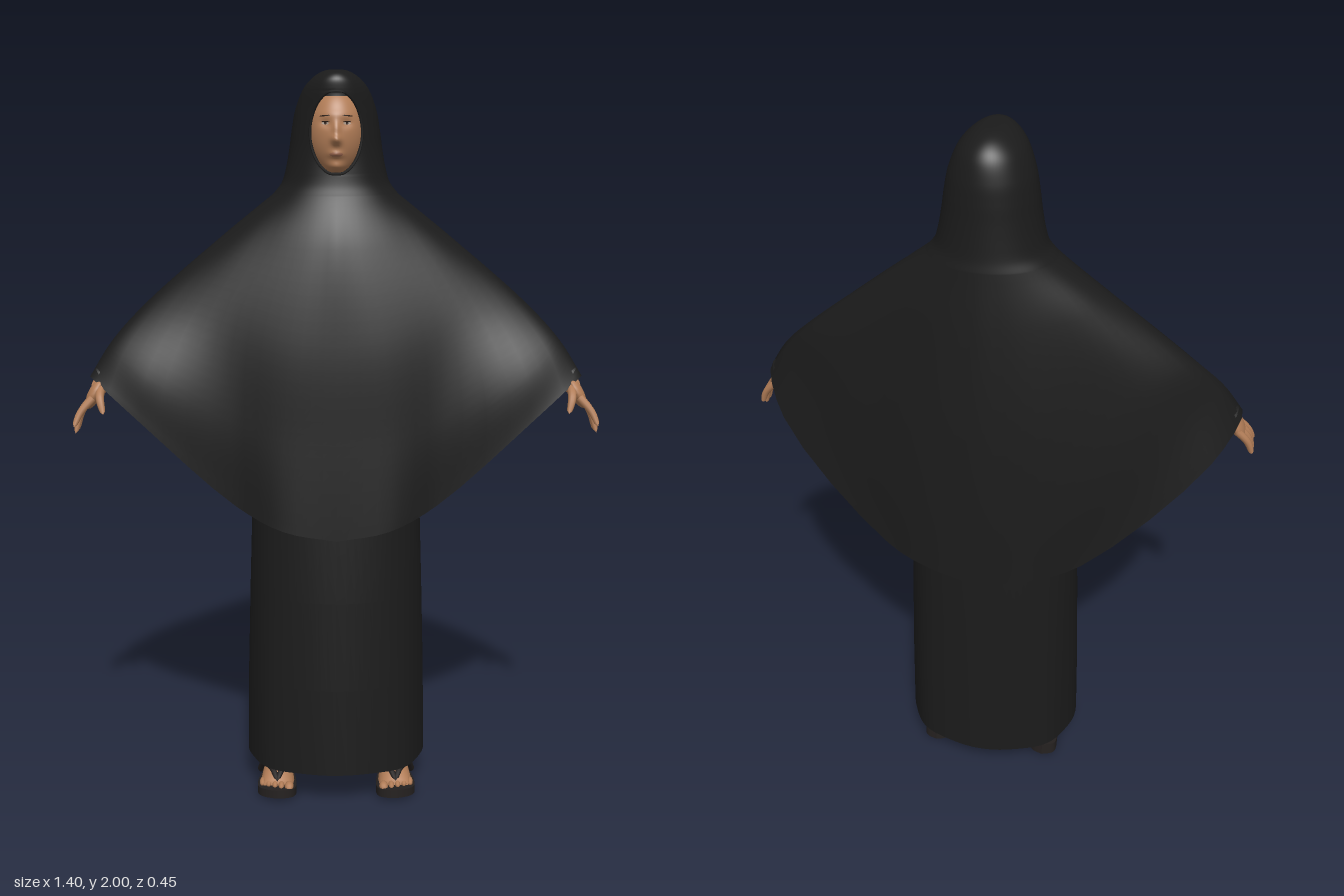
import * as THREE from 'three';
import { mergeVertices } from 'three/addons/utils/BufferGeometryUtils.js';

const V = (x, y, z) => new THREE.Vector3(x, y, z);
const spline = (pts) => new THREE.CatmullRomCurve3(pts);

const mat = (name, color, side = THREE.FrontSide) => {
  const m = new THREE.MeshStandardMaterial({ color, side });
  m.name = name;
  return m;
};

function add(parent, name, geo, material) {
  const m = new THREE.Mesh(geo, material);
  m.name = name;
  parent.add(m);
  return m;
}

// Smooth surface through rows of points
function surface(...grids) {
  const pos = [], idx = [];
  for (const rows of grids) {
    const base = pos.length / 3, n = rows[0].length;
    rows.forEach((row) => row.forEach((p) => pos.push(p.x, p.y, p.z)));
    for (let i = 0; i < rows.length - 1; i++) for (let j = 0; j < n - 1; j++) {
      const a = base + i * n + j, b = a + n;
      idx.push(a, b, a + 1, b, b + 1, a + 1);
    }
  }
  const g = new THREE.BufferGeometry();
  g.setAttribute('position', new THREE.Float32BufferAttribute(pos, 3));
  g.setIndex(idx);
  const merged = mergeVertices(g, 1e-5);
  merged.computeVertexNormals();
  return merged;
}

// Rounded tube whose radius runs from r0 to r1
function limb(pts, r0, r1, round = true) {
  const curve = spline(pts), n = 12, sides = 10;
  const g = new THREE.TubeGeometry(curve, n, 1, sides);
  const p = g.attributes.position, v = V(0, 0, 0);
  for (let i = 0; i < p.count; i++) {
    const u = Math.floor(i / (sides + 1)) / n, c = curve.getPointAt(u);
    const r = (r0 + (r1 - r0) * u) * (round ? Math.sqrt(Math.max(0, 1 - u ** 10)) : 1);
    v.fromBufferAttribute(p, i).sub(c).multiplyScalar(r).add(c);
    p.setXYZ(i, v.x, v.y, v.z);
  }
  return g;
}

// Relief of the face: ellipsoid plus soft bumps [x, y, width, height, amount]
const HEAD = V(0, 1.84, 0.013), RAD = V(0.076, 0.115, 0.088);
const BUMPS = [
  [0, 1.825, 0.011, 0.012, 0.019], [0, 1.85, 0.008, 0.02, 0.009], [0, 1.888, 0.04, 0.01, 0.003],
  [0.028, 1.866, 0.014, 0.01, -0.006], [-0.028, 1.866, 0.014, 0.01, -0.006],
  [0, 1.788, 0.017, 0.009, 0.008], [0, 1.755, 0.022, 0.014, 0.013],
];
const relief = (x, y) => BUMPS.reduce((s, [cx, cy, w, h, a]) =>
  s + a * Math.exp(-(((x - cx) / w) ** 2) - ((y - cy) / h) ** 2), 0);
const faceZ = (x, y) => HEAD.z + relief(x, y)
  + RAD.z * Math.sqrt(Math.max(0, 1 - (x / RAD.x) ** 2 - ((y - HEAD.y) / RAD.y) ** 2));

// Thin painted oval that follows the face
function facePatch(cx, cy, rx, ry, lift, slope = 0) {
  const g = new THREE.RingGeometry(0.001, 1, 20, 4), p = g.attributes.position;
  for (let i = 0; i < p.count; i++) {
    const dx = p.getX(i) * rx, x = cx + dx, y = cy + p.getY(i) * ry + dx * slope;
    p.setXYZ(i, x, y, faceZ(x, y) + lift);
  }
  g.computeVertexNormals();
  return g;
}

// Hood rows: y, half width, front z, back z
const HOOD = [
  [2.0, 0, -0.01, -0.01], [1.997, 0.03, 0.055, -0.06], [1.98, 0.06, 0.084, -0.1],
  [1.95, 0.086, 0.088, -0.125], [1.9, 0.106, 0.081, -0.138], [1.85, 0.116, 0.078, -0.143],
  [1.8, 0.123, 0.077, -0.146], [1.75, 0.132, 0.08, -0.15], [1.71, 0.144, 0.085, -0.154],
  [1.68, 0.167, 0.093, -0.159],
];
// Cape sections, each from front centre round the arm to back centre
const CAPE = [
  [[0, 1.55, .14], [.08, 1.55, .13], [.17, 1.56, .1], [.26, 1.57, .05], [.305, 1.57, -.01],
    [.28, 1.56, -.07], [.2, 1.55, -.125], [.1, 1.53, -.165], [0, 1.52, -.18]],
  [[0, 1.3, .18], [.12, 1.31, .175], [.26, 1.35, .14], [.41, 1.39, .09], [.51, 1.395, .03],
    [.44, 1.38, -.05], [.3, 1.33, -.12], [.14, 1.27, -.185], [0, 1.25, -.205]],
  [[0, 1.04, .2], [.14, 1.05, .195], [.28, 1.1, .165], [.5, 1.22, .15], [.598, 1.3, .07],
    [.53, 1.23, -.03], [.34, 1.1, -.13], [.15, 1.01, -.2], [0, 1, -.22]],
  [[0, .785, .22], [.14, .81, .215], [.27, .87, .17], [.52, 1.1, .165], [.655, 1.21, .1],
    [.59, 1.115, -.03], [.27, .825, -.165], [.12, .785, -.215], [0, .765, -.225]],
];

function buildVeil() {
  const N = 32, rows = [], rim = [];
  const front = spline(HOOD.map(([y, w, f]) => V(w, y, f)));
  const back = spline(HOOD.map(([y, w, , b]) => V(w, y, b)));
  front.curveType = back.curveType = 'catmullrom';
  for (let i = 0; i <= 72; i++) {
    const { x: w, y, z: f } = front.getPoint(i / 72), b = back.getPoint(i / 72).z;
    const open = 0.067 * Math.sqrt(Math.max(0, 1 - ((y - 1.842) / 0.106) ** 2));
    const a = open > 0 ? Math.asin(Math.min(1, open / w)) : 0;
    rows.push(Array.from({ length: N + 1 }, (_, j) => {
      const t = a + (Math.PI - a) * j / N;
      return V(j === N ? 0 : w * Math.sin(t), y, (f + b) / 2 + (f - b) / 2 * Math.cos(t));
    }));
    if (open > 0) rim.push(rows[i][0]);
  }
  const keys = CAPE.map((k) => spline(k.map((p) => V(...p))));
  const last = rows[rows.length - 1];
  const columns = last.map((p, j) => spline([p, ...keys.map((k) => k.getPoint(j / N))]));
  for (let i = 1; i <= 32; i++) rows.push(columns.map((c) => c.getPoint(i / 32)));
  const flip = (p) => V(-p.x, p.y, p.z);
  const other = rows.map((r) => r.map(flip).reverse());
  const loop = new THREE.CatmullRomCurve3([...rim, ...rim.map(flip).reverse()], true);
  return { cloth: surface(rows, other), rim: new THREE.TubeGeometry(loop, 80, 0.004, 6, true) };
}

// Gown rows: y, half width, front z, back z
const GOWN = [
  [0.095, 0.255, 0.225, -0.2], [0.35, 0.25, 0.213, -0.193], [0.6, 0.242, 0.2, -0.187],
  [0.82, 0.234, 0.188, -0.18], [1.1, 0.215, 0.165, -0.165], [1.4, 0.18, 0.12, -0.14], [1.6, 0.09, 0.05, -0.1],
];
function buildGown() {
  return surface(GOWN.map(([y, w, f, b]) => Array.from({ length: 73 }, (_, j) => {
    const t = (j % 72) / 72 * Math.PI * 2, s = Math.sin(t), c = Math.cos(t);
    const fold = 1 + 0.012 * (Math.cos(8 * t) - 1) * Math.max(0, 1 - y);
    const px = Math.sign(s) * Math.abs(s) ** 0.9, pz = Math.sign(c) * Math.abs(c) ** 0.9;
    return V(w * px * fold, y + (y < 0.1 ? 0.008 * Math.max(0, c) ** 4 : 0), (f + b) / 2 + (f - b) / 2 * pz * fold);
  })));
}

// Arched foot section at z, half width and height
const arch = (z, w, h) => Array.from({ length: 25 }, (_, j) => {
  const t = (j % 24) / 24 * Math.PI * 2;
  return V(w * Math.cos(t), 0.022 + h * Math.max(0, Math.sin(t)), z);
});

function buildFoot(m) {
  const foot = new THREE.Group();
  foot.name = 'foot';
  add(foot, 'footSkin', surface([
    arch(-0.085, 0, 0), arch(-0.08, 0.022, 0.06), arch(-0.045, 0.034, 0.085), arch(0, 0.037, 0.09),
    arch(0.05, 0.043, 0.066), arch(0.1, 0.048, 0.044), arch(0.145, 0.046, 0.028), arch(0.155, 0, 0),
  ]), m.skin);
  add(foot, 'ankle', limb([V(0, 0.06, -0.035), V(-0.005, 0.15, -0.035), V(-0.03, 0.45, -0.03)], 0.035, 0.052), m.skin);
  for (let i = 0; i < 5; i++) {
    const toe = add(foot, 'toe', new THREE.SphereGeometry(1, 10, 8), m.skin);
    toe.scale.set(i ? 0.0085 : 0.013, i ? 0.01 : 0.013, 0.02);
    toe.position.set(-0.034 + i * 0.018 + (i ? 0.004 : 0), 0.036, 0.158 - i * 0.007);
  }
  const outline = new THREE.Shape();
  outline.moveTo(0, -0.1);
  outline.splineThru([[0.037, -0.078], [0.038, 0], [0.056, 0.1], [0.047, 0.16], [0, 0.19],
    [-0.047, 0.172], [-0.053, 0.1], [-0.037, 0], [-0.037, -0.078], [0, -0.1]].map((p) => new THREE.Vector2(...p)));
  const sole = new THREE.ExtrudeGeometry(outline, { depth: 0.024, bevelEnabled: false, curveSegments: 40 });
  sole.rotateX(Math.PI / 2).translate(0, 0.024, 0);
  const p = sole.attributes.position;
  for (let i = 0; i < p.count; i++) { // raised heel and toe
    const z = p.getZ(i), top = p.getY(i) > 0.015;
    p.setY(i, p.getY(i) + (top ? 0.018 * Math.max(0, -z / 0.1) : 0) + 0.015 * Math.max(0, (z - 0.11) / 0.08));
  }
  sole.computeVertexNormals();
  add(foot, 'sandalSole', sole, m.sandal);
  for (const s of [-1, 1]) {
    add(foot, 'toeStrap', limb([V(s * 0.05, 0.026, 0.03), V(s * 0.038, 0.066, 0.07),
      V(s * 0.014, 0.066, 0.11), V(0, 0.046, 0.148)], 0.011, 0.008), m.sandal);
  }
  add(foot, 'heelCounter', surface([0.024, 0.062].map((y) => Array.from({ length: 21 }, (_, j) => {
    const t = Math.PI * (j / 20 - 0.5);
    return V(0.042 * Math.sin(t), y, 0.01 - 0.1 * Math.cos(t));
  }))), m.sandal);
  foot.position.set(0.168, 0, 0);
  return foot;
}

function buildArm(m) {
  const arm = new THREE.Group();
  arm.name = 'arm';
  add(arm, 'sleeve', limb([V(0.12, 1.48, -0.02), V(0.38, 1.35, 0.03), V(0.625, 1.2, 0.085)], 0.075, 0.036, false), m.cloth);
  add(arm, 'wrist', limb([V(0.57, 1.235, 0.077), V(0.61, 1.205, 0.087), V(0.645, 1.165, 0.1)], 0.025, 0.025), m.skin);
  const palm = add(arm, 'palm', new THREE.SphereGeometry(1, 16, 12), m.skin);
  palm.scale.set(0.018, 0.047, 0.04);
  palm.position.set(0.643, 1.165, 0.103);
  palm.rotation.z = 0.5;
  // Four fingers from front to back, then the thumb
  [[0.134, 0.158, 1.085], [0.114, 0.136, 1.062], [0.095, 0.114, 1.062], [0.075, 0.088, 1.08]].forEach(([z0, z1, tip]) =>
    add(arm, 'finger', limb([V(0.645, 1.158, z0), V(0.677, 1.122, (z0 + z1) / 2), V(0.694, tip, z1)], 0.0115, 0.008), m.skin));
  add(arm, 'thumb', limb([V(0.625, 1.185, 0.115), V(0.624, 1.16, 0.148), V(0.614, 1.12, 0.165)], 0.014, 0.008), m.skin);
  return arm;
}

function buildHead(m) {
  const head = new THREE.Group();
  head.name = 'head';
  const g = new THREE.SphereGeometry(1, 80, 72);
  g.scale(RAD.x, RAD.y, RAD.z).translate(HEAD.x, HEAD.y, HEAD.z);
  const p = g.attributes.position;
  for (let i = 0; i < p.count; i++) {
    const z = p.getZ(i) - HEAD.z;
    if (z > 0) p.setZ(i, p.getZ(i) + relief(p.getX(i), p.getY(i)) * Math.min(1, z / 0.03));
  }
  g.computeVertexNormals();
  add(head, 'face', g, m.skin);
  const cap = new THREE.SphereGeometry(1, 40, 16, 0, Math.PI * 2, 0, 0.69);
  add(head, 'underCap', cap.scale(0.082, 0.121, 0.094).translate(0, HEAD.y, HEAD.z), m.cloth);
  for (const s of [-1, 1]) {
    add(head, 'eye', facePatch(s * 0.028, 1.866, 0.0095, 0.0036, 0.001), m.eye);
    add(head, 'iris', facePatch(s * 0.028, 1.866, 0.0036, 0.0036, 0.0018), m.brow);
    add(head, 'eyelid', facePatch(s * 0.028, 1.87, 0.011, 0.0012, 0.002), m.brow);
    add(head, 'eyebrow', facePatch(s * 0.029, 1.885, 0.014, 0.0016, 0.0012, -s * 0.1), m.brow);
  }
  add(head, 'lips', facePatch(0, 1.788, 0.018, 0.0055, 0.001), m.lips);
  return head;
}

export function createModel() {
  const m = {
    cloth: mat('black cloth', 0x1b1b1b, THREE.DoubleSide),
    skin: mat('skin', 0xb27d57, THREE.DoubleSide),
    sandal: mat('dark leather', 0x252120, THREE.DoubleSide),
    brow: mat('dark hair', 0x2b1d15),
    eye: mat('eye white', 0xa8988a),
    lips: mat('lips', 0x9c6850),
  };
  const model = new THREE.Group();
  model.name = 'robedFigure';
  const veil = buildVeil();
  add(model, 'veil', veil.cloth, m.cloth);
  add(model, 'veilRim', veil.rim, m.cloth);
  add(model, 'gown', buildGown(), m.cloth);
  model.add(buildHead(m));
  for (const s of [1, -1]) {
    const side = new THREE.Group();
    side.name = s > 0 ? 'leftLimbs' : 'rightLimbs';
    side.add(buildArm(m), buildFoot(m));
    side.scale.x = s;
    model.add(side);
  }
  return model;
}
